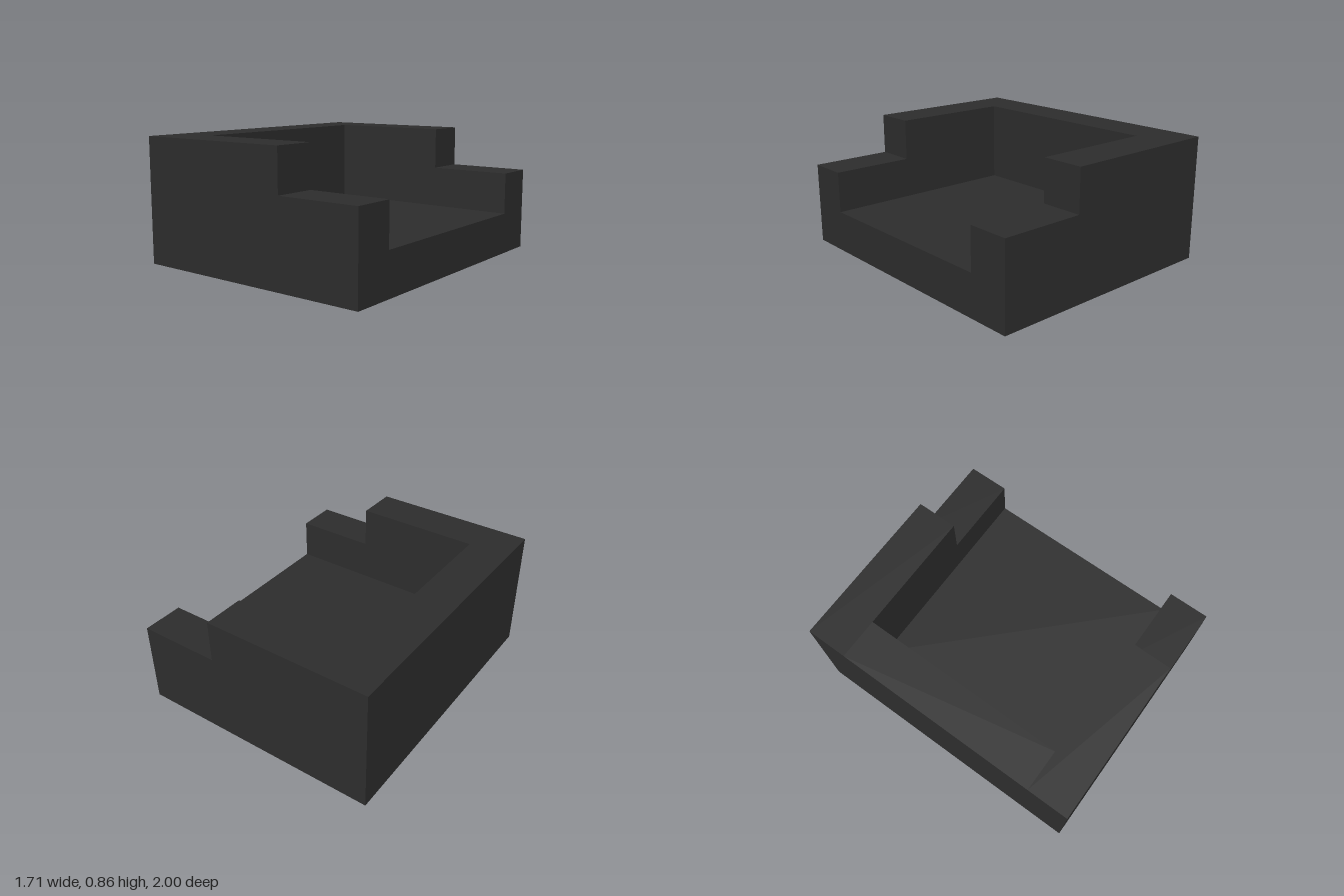
import * as THREE from 'three';

const U = 2 / 7; // grid unit: the body is 6 x 3 x 7 units

export function createModel() {
  const group = new THREE.Group();
  group.name = 'steppedTray';
  const charcoal = new THREE.MeshStandardMaterial({ color: 0x2d2d2d });
  charcoal.name = 'charcoal';

  // Extrudes an x-y profile (in units) along z from z0 to z1
  function slab(name, points, z0, z1) {
    const shape = new THREE.Shape(points.map(([x, y]) => new THREE.Vector2(x * U, y * U)));
    const geometry = new THREE.ExtrudeGeometry(shape, { depth: (z1 - z0) * U, bevelEnabled: false });
    geometry.translate(0, 0, z0 * U);
    const mesh = new THREE.Mesh(geometry, charcoal);
    mesh.name = name;
    group.add(mesh);
  }

  // Side walls, stepping down towards the open end
  const wall = [[-3, 0], [3, 0], [3, 2], [1, 2], [1, 3], [-3, 3]];
  slab('frontWall', wall, 2.5, 3.5);
  slab('backWall', wall, -3.5, -2.5);

  // Floor and closed end wall between them
  slab('floorAndEndWall', [[-3, 0], [3, 0], [3, 1], [-2, 1], [-2, 3], [-3, 3]], -2.5, 2.5);

  return group;
}
